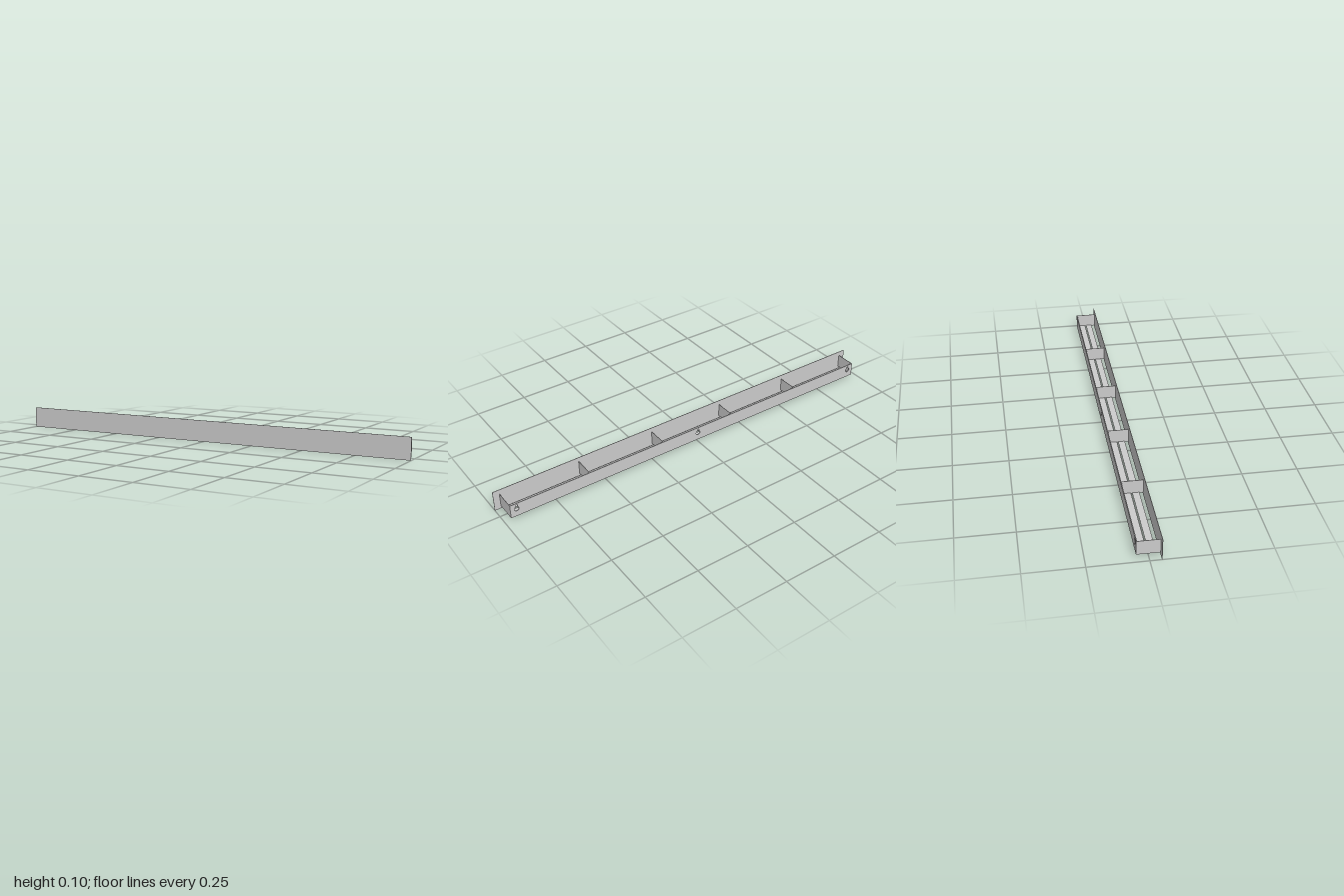
import * as THREE from 'three';

const L = 1.94, Y0 = 0.012, Y1 = 0.078, H = Y1 - Y0;

export function createModel() {
  const group = new THREE.Group();
  const material = new THREE.MeshStandardMaterial({ color: 0xcccccc, side: THREE.DoubleSide });

  const add = (name, geometry, x, y, z) => {
    const mesh = new THREE.Mesh(geometry, material);
    mesh.name = name;
    mesh.position.set(x, y, z);
    group.add(mesh);
  };
  const box = (name, w, h, d, x, y, z) => add(name, new THREE.BoxGeometry(w, h, d), x, y, z);

  // Tall front fascia, wider than the tray behind it
  box('frontPanel', 2, 0.1, 0.002, 0, 0.05, 0.049);

  // Back wall with three hanging keyholes near its top edge
  const wall = new THREE.Shape();
  wall.moveTo(-L / 2, Y0);
  wall.lineTo(L / 2, Y0);
  wall.lineTo(L / 2, Y1);
  wall.lineTo(-L / 2, Y1);
  wall.closePath();
  for (const x of [-0.94, 0, 0.94]) {
    const hole = new THREE.Path();
    hole.moveTo(x - 0.005, 0.07);
    hole.lineTo(x - 0.005, 0.06);
    hole.absarc(x, 0.05, 0.011, Math.PI * 0.65, Math.PI * 2.35, false);
    hole.lineTo(x + 0.005, 0.07);
    hole.closePath();
    wall.holes.push(hole);
  }
  add('backWall', new THREE.ExtrudeGeometry(wall, { depth: 0.004, bevelEnabled: false }), 0, 0, -0.05);

  // End walls and four evenly spaced dividers
  for (let i = 0; i <= 5; i++) {
    const end = i === 0 || i === 5;
    const x = (i / 5 - 0.5) * (L - 0.002);
    box(end ? 'endWall' : 'divider', 0.002, H, 0.096, x, (Y0 + Y1) / 2, 0);
  }

  // Two long floor slats with open slots along the front and back
  box('floorSlat', L - 0.004, 0.002, 0.03, 0, Y0 + 0.002, -0.02);
  box('floorSlat', L - 0.004, 0.002, 0.03, 0, Y0 + 0.002, 0.016);

  return group;
}
